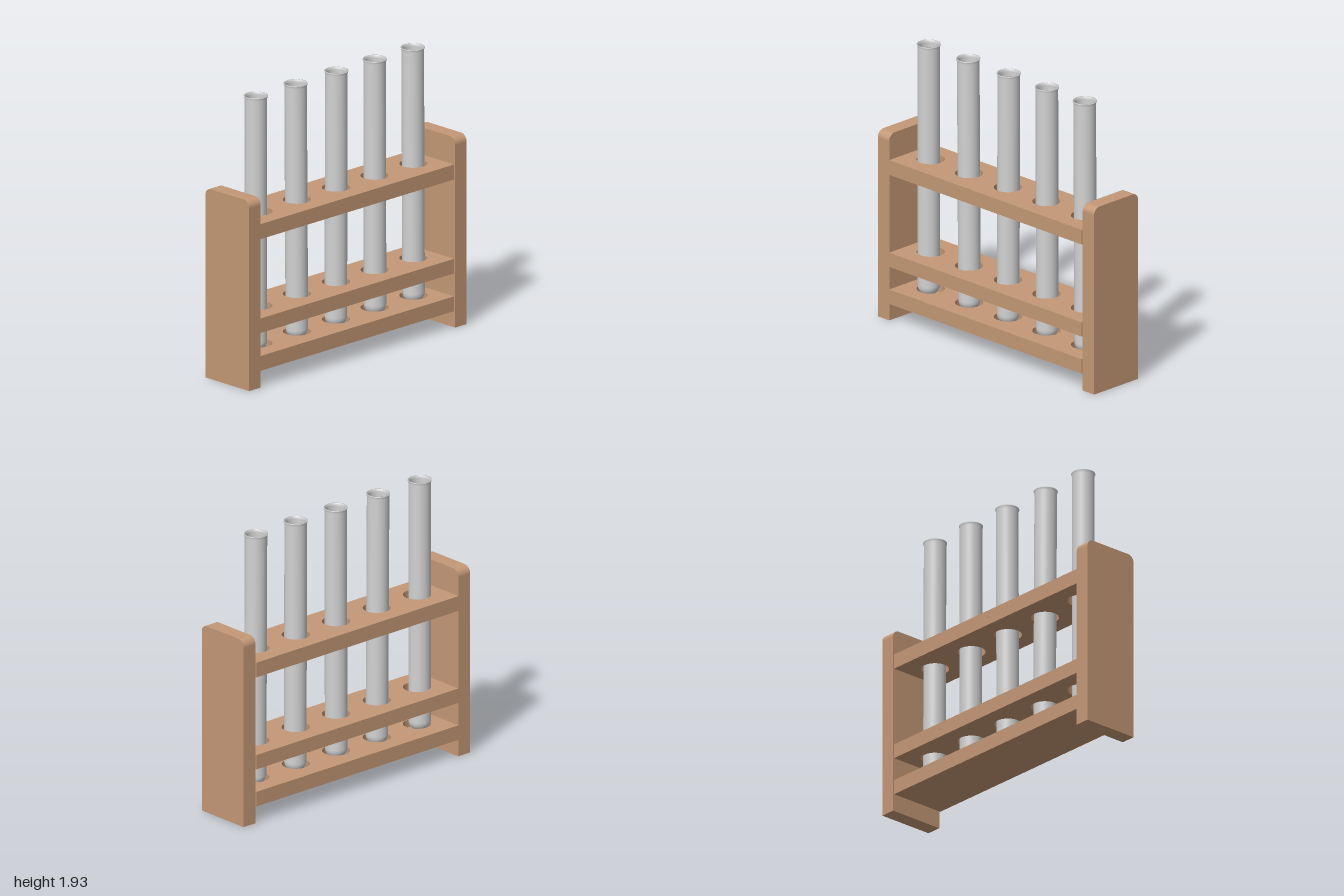
import * as THREE from 'three';

const HOLES = [0.715, 0.36, 0, -0.355, -0.712];
// centre z of each tube at its bottom and its top
const TUBES = [[0.736, 0.736], [0.358, 0.37], [0, -0.005], [-0.361, -0.358], [-0.716, -0.708]];
const HALF_W = 0.203;
const Z_FRONT = 0.895, Z_BACK = -0.885;

const wood = new THREE.MeshStandardMaterial({ color: 0xc49876 });
wood.name = 'wood';
const glass = new THREE.MeshStandardMaterial({ color: 0xd2d2d2, side: THREE.DoubleSide });
glass.name = 'paleGlass';

function addMesh(parent, name, geometry, material) {
  const mesh = new THREE.Mesh(geometry, material);
  mesh.name = name;
  parent.add(mesh);
  return mesh;
}

// Horizontal board, optionally drilled with the row of holes
function board(y, height, drilled) {
  const s = new THREE.Shape();
  s.moveTo(-HALF_W, -Z_FRONT);
  s.lineTo(HALF_W, -Z_FRONT);
  s.lineTo(HALF_W, -Z_BACK);
  s.lineTo(-HALF_W, -Z_BACK);
  s.closePath();
  if (drilled) {
    for (const z of HOLES) {
      s.holes.push(new THREE.Path().absarc(0, -z, 0.092, 0, Math.PI * 2, true));
    }
  }
  const g = new THREE.ExtrudeGeometry(s, { depth: height, bevelEnabled: false, curveSegments: 32 });
  return g.rotateX(-Math.PI / 2).translate(0, y, 0);
}

// Upright end panel with rounded top corners
function endPanel(z, depth) {
  const h = 1.305, r = 0.05;
  const s = new THREE.Shape();
  s.moveTo(-HALF_W, 0);
  s.lineTo(HALF_W, 0);
  s.lineTo(HALF_W, h - r);
  s.absarc(HALF_W - r, h - r, r, 0, Math.PI / 2, false);
  s.lineTo(-HALF_W + r, h);
  s.absarc(-HALF_W + r, h - r, r, Math.PI / 2, Math.PI, false);
  s.closePath();
  const g = new THREE.ExtrudeGeometry(s, { depth, bevelEnabled: false, curveSegments: 8 });
  return g.translate(0, 0, z);
}

// Round-bottomed hollow tube with a slightly flared lip
function tubeGeometry(bottom, top) {
  const R = 0.074, r = 0.066, c = bottom + R;
  const points = [];
  const bowl = (radius, a) =>
    new THREE.Vector2(Math.max(0, radius * Math.sin(a)), c - radius * Math.cos(a));
  for (let i = 0; i <= 8; i++) points.push(bowl(R, (i / 8) * Math.PI / 2));
  points.push(new THREE.Vector2(R, top - 0.02), new THREE.Vector2(0.079, top - 0.006));
  points.push(new THREE.Vector2(0.079, top), new THREE.Vector2(0.072, top));
  points.push(new THREE.Vector2(r, top - 0.02));
  for (let i = 8; i >= 0; i--) points.push(bowl(r, (i / 8) * Math.PI / 2));
  return new THREE.LatheGeometry(points, 32);
}

export function createModel() {
  const group = new THREE.Group();
  group.name = 'testTubeRack';

  addMesh(group, 'frontPanel', endPanel(0.895, 0.105), wood);
  addMesh(group, 'backPanel', endPanel(-1, 0.105), wood);

  addMesh(group, 'topShelf', board(1.02, 0.103, true), wood);
  addMesh(group, 'middleShelf', board(0.375, 0.1, true), wood);

  // Bottom shelf has shallow sockets: a drilled layer on a solid one
  addMesh(group, 'bottomShelfSockets', board(0.165, 0.052, true), wood);
  addMesh(group, 'bottomShelfBase', board(0.115, 0.05, false), wood);

  // Tubes lean very slightly in their holes
  const bottom = 0.168, top = 1.926;
  const geometry = tubeGeometry(0, top - bottom);
  TUBES.forEach(([z0, z1], i) => {
    const tube = addMesh(group, 'testTube' + (i + 1), geometry, glass);
    tube.position.set(-0.002, bottom, z0);
    tube.rotation.x = Math.atan2(z1 - z0, top - bottom);
  });
  return group;
}
